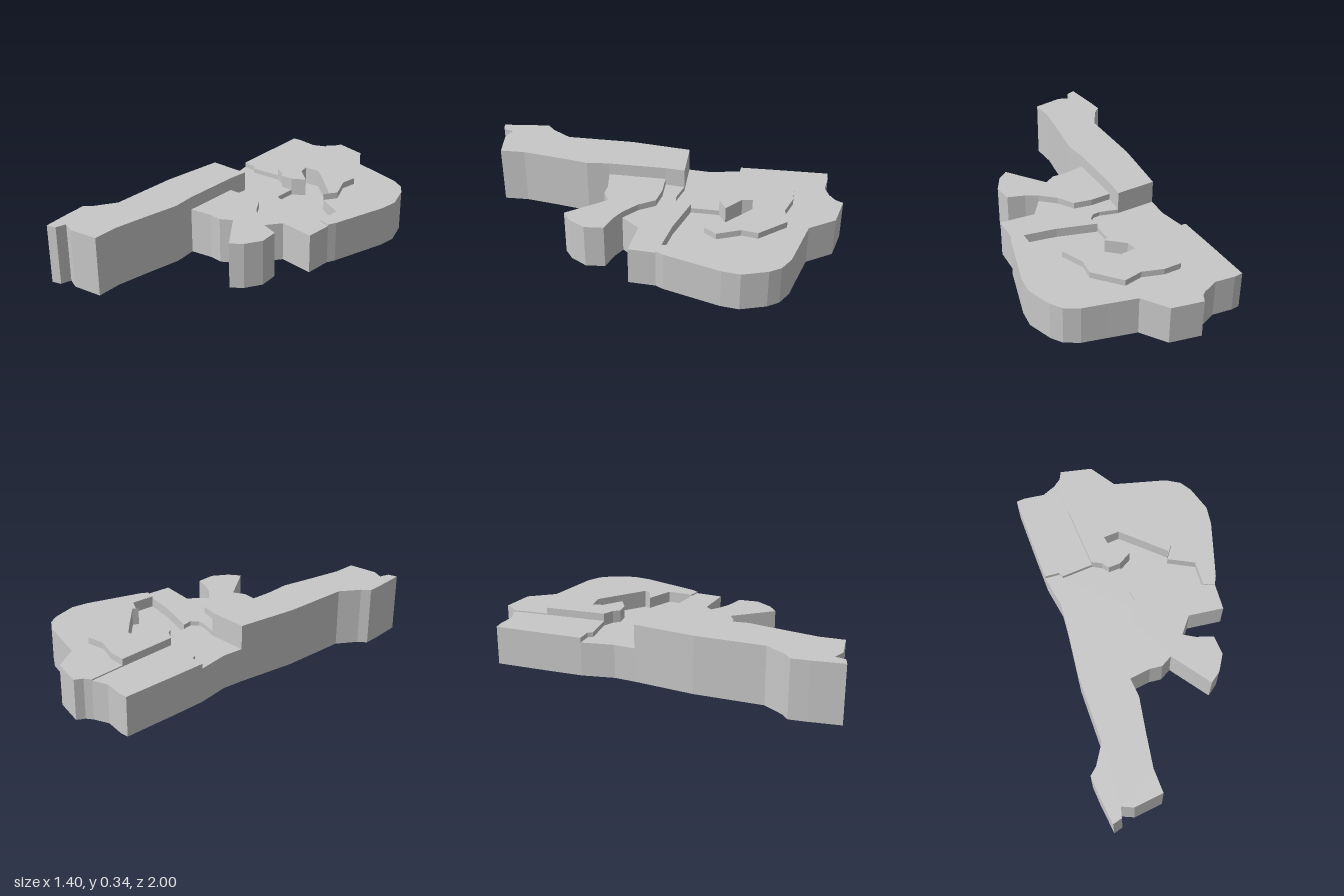
import * as THREE from 'three';

// A border is a polyline given as x, z pairs; neighbouring districts share it
const border = (...xz) => {
  const points = [];
  for (let i = 0; i < xz.length; i += 2) points.push(new THREE.Vector2(xz[i], -xz[i + 1]));
  return points;
};
const reversed = (points) => [...points].reverse();

// Outer edges, clockwise from the north-west
const northWestEdge = border(-0.34, -0.45, -0.31, -0.65, -0.26, -0.96, -0.21, -0.955, -0.1, -0.92, -0.01, -0.94);
const eastEdge = border(-0.01, -0.94, 0.03, -0.96, 0.06, -1, 0.23, -0.93, 0.3, -0.77, 0.45, -0.7, 0.58, -0.64,
  0.65, -0.58, 0.68, -0.51, 0.7, -0.36, 0.67, -0.26, 0.52, 0.04, 0.49, 0.08);
const southEastEdge = border(0.49, 0.08, 0.455, 0.23, 0.26, 0.17, 0.16, 0.26);
const lobeEdge = border(0.16, 0.26, 0.22, 0.31, 0.31, 0.36, 0.3, 0.47, 0.23, 0.55, 0.16, 0.585, 0.04, 0.34,
  -0.03, 0.365, -0.1, 0.345, -0.23, 0.34);
const stripEdge = border(-0.23, 0.34, -0.24, 0.47, -0.31, 0.67, -0.37, 0.85, -0.39, 0.99, -0.56, 0.98, -0.62, 0.94,
  -0.645, 0.995, -0.7, 1, -0.69, 0.82, -0.68, 0.72, -0.63, 0.69, -0.54, 0.59, -0.47, 0.2, -0.37, -0.14);
const westEdge = border(-0.37, -0.14, -0.34, -0.26, -0.34, -0.45);

// Inner borders
const northWestToWest = border(-0.07, -0.38, -0.25, -0.4, -0.26, -0.43, -0.34, -0.45);
const eastToRaised = border(0.33, -0.19, 0.39, -0.25, 0.36, -0.39, 0.39, -0.48, 0.29, -0.65, 0.18, -0.65,
  0.07, -0.71, -0.03, -0.73);
const raisedToWest = border(0.07, -0.29, 0, -0.3, -0.02, -0.34, -0.07, -0.38);
const raisedToSunken = border(0.33, -0.19, 0.35, -0.22, 0.23, -0.38, 0.16, -0.47, 0.07, -0.48, 0.07, -0.42,
  0.15, -0.32, 0.07, -0.29);
const sunkenToEast = border(0.43, 0.05, 0.46, -0.09, 0.33, -0.19);
const westToSouthEast = border(0.04, -0.13, 0.04, -0.07, 0, -0.045, -0.04, -0.05, -0.14, -0.1);
const sunkenToSouthEast = border(0.04, -0.13, 0.25, -0.02, 0.43, 0.05);
const southEastToLobe = border(-0.17, 0.01, -0.05, 0.03, 0.05, 0.07, 0.09, 0.17, 0.16, 0.26);
const lobeToStrip = border(-0.23, 0.34, -0.19, 0.12, -0.17, 0.01);
const stripTop = border(-0.14, -0.1);
const raisedCorner = border(-0.03, -0.73);

// Join borders into one outline and extrude it upward with an open underside
function openPrism(borders, height) {
  const joined = borders.flat();
  const outline = joined.filter((p, i) => !p.equals(joined[(i + 1) % joined.length]));
  const solid = new THREE.ExtrudeGeometry(new THREE.Shape(outline), { depth: height, bevelEnabled: false });
  solid.rotateX(-Math.PI / 2);
  const p = solid.attributes.position.array;
  const kept = [];
  for (let i = 0; i < p.length; i += 9) {
    if (Math.max(p[i + 1], p[i + 4], p[i + 7]) > 0.001) kept.push(...p.slice(i, i + 9));
  }
  const geometry = new THREE.BufferGeometry();
  geometry.setAttribute('position', new THREE.Float32BufferAttribute(kept, 3));
  geometry.computeVertexNormals();
  return geometry;
}

export function createModel() {
  const group = new THREE.Group();
  group.name = 'districtMap';
  const grey = new THREE.MeshStandardMaterial({ color: 0xc8c8c8, side: THREE.DoubleSide });
  grey.name = 'lightGrey';
  const district = (name, height, ...borders) => {
    const mesh = new THREE.Mesh(openPrism(borders, height), grey);
    mesh.name = name;
    group.add(mesh);
  };

  district('northWestBlock', 0.228, northWestEdge, raisedCorner, northWestToWest);
  district('eastBlock', 0.235, eastEdge, sunkenToEast, eastToRaised);
  district('raisedCentre', 0.272, reversed(eastToRaised), raisedToSunken, raisedToWest);
  district('sunkenCentre', 0.17, reversed(raisedToSunken), reversed(sunkenToEast), reversed(sunkenToSouthEast));
  district('westBlock', 0.2, reversed(northWestToWest), reversed(raisedToWest), westToSouthEast, westEdge);
  district('southWestStrip', 0.34, stripEdge, stripTop, reversed(lobeToStrip));
  district('southEastBlock', 0.226, reversed(westToSouthEast), sunkenToSouthEast, southEastEdge, reversed(southEastToLobe));
  district('southLobe', 0.265, southEastToLobe, lobeEdge, lobeToStrip);
  return group;
}
